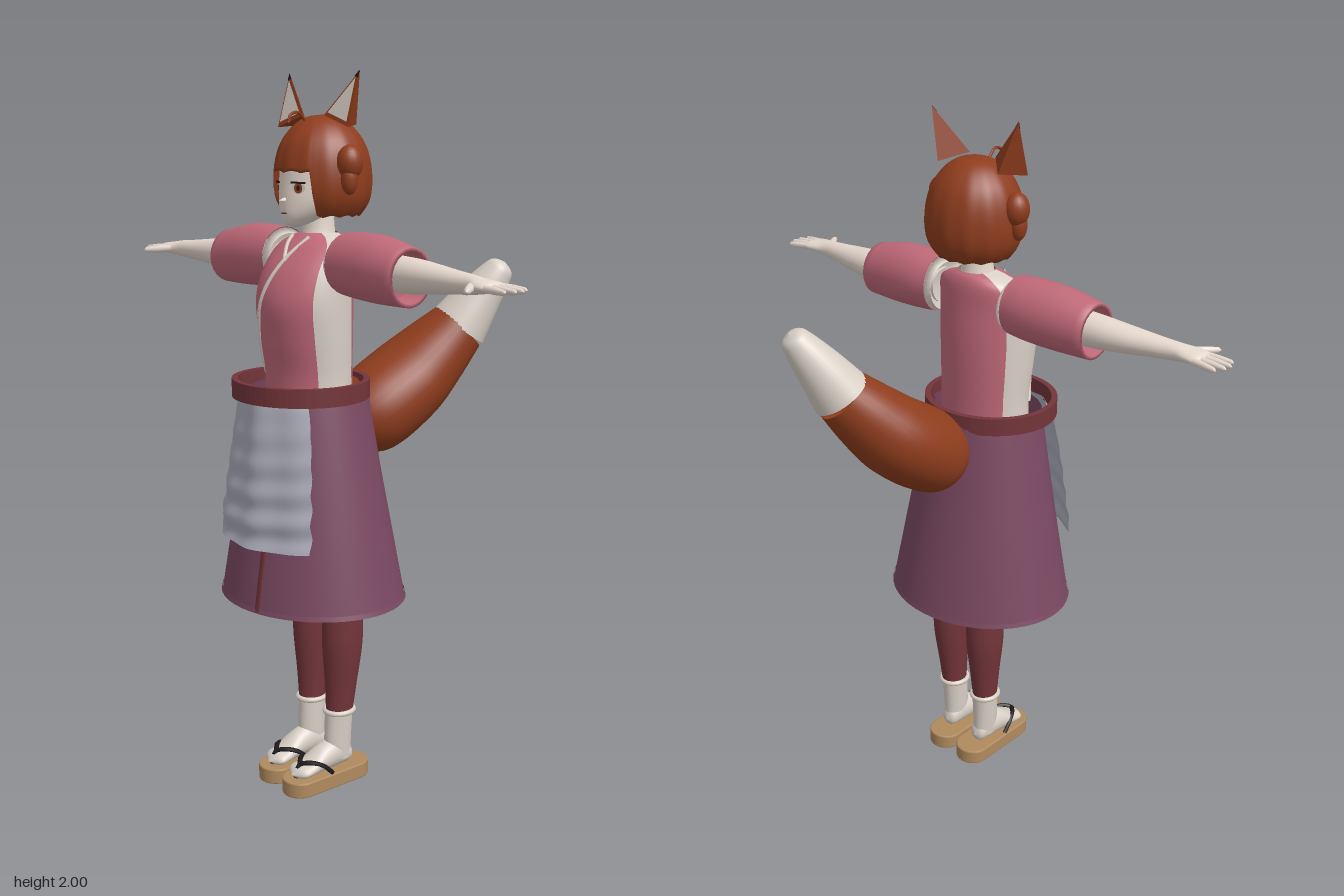
import * as THREE from 'three';
import { ConvexGeometry } from 'three/addons/geometries/ConvexGeometry.js';

const V = (x, y, z) => new THREE.Vector3(x, y, z);
const UP = V(0, 1, 0), X = V(1, 0, 0), Z = V(0, 0, 1);

function paint(name, color) {
  const m = new THREE.MeshStandardMaterial({ color, side: THREE.DoubleSide });
  m.name = name;
  return m;
}

// Sections are [x, y, z, radiusA, radiusB]; smooth() adds steps between them.
function smooth(sections, steps = 5) {
  const curve = f => new THREE.CatmullRomCurve3(sections.map(f), false, 'catmullrom');
  const pos = curve(s => V(s[0], s[1], s[2])), rad = curve(s => V(s[3], s[4], 0));
  const n = (sections.length - 1) * steps;
  return Array.from({ length: n + 1 }, (_, i) => {
    const p = pos.getPoint(i / n), r = rad.getPoint(i / n);
    return [p.x, p.y, p.z, Math.max(r.x, 0), Math.max(r.y, 0)];
  });
}

// Skin of elliptical rings; radiusA lies along ref, arc limits the angle.
function loft(secs, { n = 24, ref = X, axis = null, arc = null } = {}) {
  const pts = secs.map(s => V(s[0], s[1], s[2])), pos = [], idx = [];
  const [a0, a1] = arc || [0, Math.PI * 2], cols = arc ? n + 1 : n;
  secs.forEach((s, i) => {
    const T = axis ? axis.clone() : pts[Math.min(i + 1, pts.length - 1)].clone().sub(pts[Math.max(i - 1, 0)]);
    T.normalize();
    const U = ref.clone().addScaledVector(T, -ref.dot(T)).normalize(), W = T.clone().cross(U);
    for (let j = 0; j < cols; j++) {
      const a = a0 + (a1 - a0) * j / n;
      const p = pts[i].clone().addScaledVector(U, Math.cos(a) * s[3]).addScaledVector(W, Math.sin(a) * s[4]);
      pos.push(p.x, p.y, p.z);
    }
  });
  for (let i = 0; i < secs.length - 1; i++) for (let j = 0; j < n; j++) {
    const a = i * cols + j, b = i * cols + (j + 1) % cols;
    idx.push(a, b, a + cols, b, b + cols, a + cols);
  }
  const g = new THREE.BufferGeometry();
  g.setAttribute('position', new THREE.Float32BufferAttribute(pos, 3));
  g.setIndex(idx);
  g.computeVertexNormals();
  return g;
}

// Front surface depth of an upright loft at (x, y).
function frontZ(secs, x, y) {
  let i = 0;
  while (i < secs.length - 2 && secs[i + 1][1] < y) i++;
  const t = (y - secs[i][1]) / (secs[i + 1][1] - secs[i][1]);
  const [cx, , cz, a, b] = secs[i].map((v, k) => THREE.MathUtils.lerp(v, secs[i + 1][k], t));
  return cz + b * Math.sqrt(Math.max(0, 1 - ((x - cx) / a) ** 2));
}

export function createModel() {
  const root = new THREE.Group();
  const skin = paint('skin', 0xe6d8ce), cream = paint('cream cloth', 0xd9d0c6), hair = paint('russet hair', 0x8f3d1d);
  const pink = paint('pink cloth', 0xc06978), maroon = paint('maroon cloth', 0x73353a), plum = paint('plum cloth', 0x7b4962);
  const grey = paint('apron grey', 0xadadbb), wood = paint('sandal wood', 0xb08a5e), black = paint('black', 0x1e1a1c);
  const add = (name, geo, mat, parent = root) => {
    const m = new THREE.Mesh(geo, mat);
    m.name = name;
    parent.add(m);
    return m;
  };
  const tube = (pts, r) => new THREE.TubeGeometry(new THREE.CatmullRomCurve3(pts), 20, r, 6);

  // Torso wrapped in pink, with cream side panels
  const torso = smooth([[0, 1.08, .17, .14, .11], [0, 1.2, .168, .136, .108], [0, 1.3, .175, .14, .118], [0, 1.4, .18, .143, .125],
    [0, 1.48, .168, .14, .11], [0, 1.54, .145, .128, .085], [0, 1.568, .132, .09, .065], [0, 1.58, .128, .052, .05]]);
  const a = .55, P = Math.PI;
  [['wrapBack', a, P - a, pink], ['wrapFront', P + a, 2 * P - a, pink], ['leftSidePanel', -a, a, cream], ['rightSidePanel', P - a, P + a, cream]]
    .forEach(([name, a0, a1, mat]) => add(name, loft(torso, { n: 16, axis: UP, arc: [a0, a1] }), mat));
  const trim = (x0, y0, x1, y1) => tube(Array.from({ length: 9 }, (_, i) => {
    const x = x0 + (x1 - x0) * i / 8, y = y0 + (y1 - y0) * i / 8;
    return V(x, y, frontZ(torso, x, y));
  }), .006);
  add('collarTrimLong', trim(.035, 1.57, -.115, 1.19), cream);
  add('collarTrimShort', trim(-.04, 1.57, .015, 1.51), cream);
  add('neck', loft(smooth([[0, 1.54, .135, .06, .06], [0, 1.58, .13, .045, .045], [0, 1.66, .13, .04, .04]]), { axis: UP }), skin);

  // Skirt, front stripe, hem, belt and apron
  const skirt = [[0, .575, .158, .28, .243], [0, .77, .161, .242, .212], [0, .96, .165, .205, .184], [0, 1.16, .168, .168, .158]];
  add('skirt', loft(smooth(skirt), { n: 48, axis: UP }), plum);
  add('skirtHem', loft([[0, .572, .158, .284, .247], [0, .585, .158, .28, .244]], { n: 48, axis: UP }), plum);
  add('skirtStripe', loft([.575, .77, .96, 1.14].map(y => [.06, y, frontZ(skirt, .06, y), .011, .004]), { n: 8, axis: UP }), maroon);
  const ring = new THREE.Shape().absellipse(0, 0, .195, .185, 0, 2 * P);
  ring.holes.push(new THREE.Path().absellipse(0, 0, .178, .168, 0, 2 * P, true));
  const belt = new THREE.ExtrudeGeometry(ring, { depth: .05, bevelEnabled: false, curveSegments: 32 });
  add('belt', belt.rotateX(-P / 2).translate(0, 1.14, .195), maroon);
  const apron = new THREE.PlaneGeometry(2, 1, 24, 40), ap = apron.attributes.position;
  for (let i = 0; i < ap.count; i++) {
    const u = ap.getX(i), v = .5 - ap.getY(i);
    const ripple = .005 * Math.sin(v * 32 + u) * v + .004 * Math.sin(u * 9);
    ap.setXYZ(i, u * (.14 + .07 * Math.sqrt(v)), 1.15 - .4 * v + .008 * u * u, .362 + .04 * v - .078 * u * u + ripple);
  }
  apron.computeVertexNormals();
  add('apron', apron, grey);

  // Head and face
  const headSecs = smooth([[0, 1.596, .212, .004, .006], [0, 1.606, .2, .027, .035], [0, 1.63, .175, .057, .069], [0, 1.665, .15, .082, .094],
    [0, 1.71, .138, .093, .101], [0, 1.77, .133, .098, .098], [0, 1.83, .125, .08, .08], [0, 1.86, .12, .02, .02]]);
  add('head', loft(headSecs, { n: 32, axis: UP }), skin);
  add('nose', new THREE.ConeGeometry(.009, .022, 8).rotateX(P / 2).translate(0, 1.668, .25), skin);
  add('mouth', new THREE.BoxGeometry(.022, .003, .006).translate(0, 1.634, frontZ(headSecs, 0, 1.634)), maroon);
  for (const s of [1, -1]) {
    const eye = new THREE.Group();
    eye.name = s > 0 ? 'leftEye' : 'rightEye';
    eye.position.set(s * .043, 1.7, frontZ(headSecs, .043, 1.7));
    eye.rotation.y = s * .45;
    root.add(eye);
    const disc = (name, w, h, y, z, mat) => add(name, new THREE.CircleGeometry(1, 20).scale(w, h, 1).translate(0, y, z), mat, eye);
    disc('eyeWhite', .02, .014, 0, .002, cream);
    disc('iris', .012, .014, 0, .003, hair);
    disc('pupil', .005, .007, 0, .004, black);
    add('lash', new THREE.BoxGeometry(.042, .005, .003).translate(0, .014, .003), black, eye);
  }

  // Bobbed hair: a cap whose lower edge rises over the face
  const capR = smooth([[0, 0, 1.62, 1.0, 0], [0, 0, 1.66, 1.27, 0], [0, 0, 1.71, 1.36, 0], [0, 0, 1.77, 1.31, 0],
    [0, 0, 1.82, 1.13, 0], [0, 0, 1.86, .8, 0], [0, 0, 1.882, .42, 0], [0, 0, 1.888, 0, 0]], 6);
  const radiusAt = y => {
    let i = 0;
    while (i < capR.length - 2 && capR[i + 1][2] < y) i++;
    const t = THREE.MathUtils.clamp((y - capR[i][2]) / (capR[i + 1][2] - capR[i][2]), 0, 1);
    return .1 * THREE.MathUtils.lerp(capR[i][3], capR[i + 1][3], t);
  };
  const cap = new THREE.PlaneGeometry(1, 1, 120, 25), cp = cap.attributes.position;
  for (let i = 0; i < cp.count; i++) {
    const phi = cp.getX(i) * 2 * P, v = .5 - cp.getY(i), row = Math.min(v * 25 / 24, 1);
    const side = THREE.MathUtils.smoothstep(Math.abs(phi), .62, .74);
    const bottom = 1.738 - side * .116 + .006 * Math.abs(Math.sin(phi * 7));
    const y = 1.888 - (1.888 - bottom) * (1 - Math.cos(row * P / 2)) ;
    const tuck = v > .99 ? .75 : 1;
    const r = radiusAt(y) * tuck * (1 + .012 * row * Math.sin(phi * 14));
    cp.setXYZ(i, Math.sin(phi) * r * .99, y + (v > .99 ? .012 : 0), .115 + Math.cos(phi) * r * .96);
  }
  cap.computeVertexNormals();
  add('hair', cap, hair);
  add('hairCurl', tube([V(0, 1.87, .17), V(.005, 1.893, .2), V(.01, 1.885, .23), V(.012, 1.868, .235)], .004), hair);

  for (const s of [1, -1]) {
    const side = s > 0 ? 'left' : 'right';
    // Side buns and fox ears
    add(side + 'Bun', new THREE.SphereGeometry(1, 20, 14).scale(.034, .045, .036).translate(s * .134, 1.767, .13), hair);
    add(side + 'BunTail', new THREE.SphereGeometry(1, 16, 12).scale(.022, .042, .024).translate(s * .138, 1.725, .135), hair);
    const outer = V(s * .152, 1.855, .15), inner = V(s * .045, 1.886, .145), tip = V(s * .15, 1.997, .11), back = V(s * .105, 1.862, .085);
    add(side + 'Ear', new ConvexGeometry([outer, inner, tip, back]), hair);
    add(side + 'EarTip', new ConvexGeometry([outer, inner, tip, back].map(p => tip.clone().lerp(p, .14).add(V(0, .002, .001)))), black);
    const mid = outer.clone().add(inner).add(tip).divideScalar(3);
    const plate = [outer, inner, tip].map(p => p.clone().lerp(mid, .22).add(V(0, .001, .003)));
    const earIn = new THREE.BufferGeometry().setFromPoints(s > 0 ? [plate[0], plate[2], plate[1]] : plate);
    earIn.computeVertexNormals();
    add(side + 'EarInner', earIn, cream);

    // Puffed sleeve, folded in at its open cuff
    const out = V(s, 0, 0), along = { ref: UP, axis: out };
    const sleeve = smooth([[.138, 1.505, .14, .082, .08], [.2, 1.504, .14, .087, .084], [.29, 1.5, .144, .087, .082], [.395, 1.49, .148, .076, .072]])
      .concat([[.396, 1.49, .148, .066, .062], [.33, 1.495, .147, .066, .062]]);
    add(side + 'Sleeve', loft(sleeve.map(([x, ...r]) => [s * x, ...r]), along), pink);
    add(side + 'ShoulderSeam', loft([[s * .12, 1.5, .14, .07, .07], [s * .139, 1.505, .14, .08, .078], [s * .139, 1.505, .14, 0, 0]], along), cream);

    // Arm, hand and fingers
    const arm = smooth([[.13, 1.5, .14, .05, .05], [.38, 1.495, .143, .046, .048], [.48, 1.495, .148, .038, .043], [.57, 1.495, .157, .029, .033],
      [.63, 1.495, .163, .024, .028], [.67, 1.495, .168, .018, .038], [.705, 1.495, .166, .013, .038], [.718, 1.495, .165, 0, .01]]);
    add(side + 'Arm', loft(arm.map(([x, ...r]) => [s * x, ...r]), along), skin);
    const finger = (name, x0, z0, x1, z1, r) => {
      const at = (t, k) => [s * (x0 + (x1 - x0) * t), 1.495 - .004 * t, z0 + (z1 - z0) * t, r * k, r * k];
      add(side + name, loft([at(0, 1), at(.5, 1), at(.9, .75), at(1, 0)], { n: 8, ref: UP }), skin);
    };
    for (let k = 0; k < 4; k++) finger('Finger' + (k + 1), .695, .137 + k * .019, .772 + [0, .014, .015, .004][k], .125 + k * .025, .0095);
    finger('Thumb', .65, .185, .705, .256, .011);

    // Leg, sock, sandal and straps
    const leg = smooth([[.064, .2, .115, .034, .04], [.066, .3, .11, .042, .049], [.068, .42, .106, .052, .062],
      [.068, .55, .107, .053, .064], [.07, .8, .12, .068, .08], [.065, 1.1, .16, .075, .09]]);
    add(side + 'Leg', loft(leg.map(([x, ...r]) => [s * x, ...r]), { axis: UP }), maroon);
    add(side + 'Ankle', loft(smooth([[s * .062, .07, .118, .03, .04], [s * .062, .12, .12, .033, .042], [s * .063, .215, .115, .036, .042]]), { axis: UP }), cream);
    add(side + 'SockCuff', new THREE.TorusGeometry(.038, .008, 8, 24).rotateX(P / 2).scale(1, 1, 1.1).translate(s * .064, .215, .115), cream);
    add(side + 'Foot', loft(smooth([[s * .06, .072, .072, 0, 0], [s * .06, .077, .085, .025, .028], [s * .06, .088, .13, .034, .043], [s * .06, .082, .18, .037, .038],
      [s * .058, .066, .23, .041, .022], [s * .056, .06, .262, .037, .016], [s * .056, .056, .282, 0, 0]]), { axis: Z }), cream);
    const sole = new THREE.Shape().absarc(0, .063, .052, P, 2 * P).absarc(0, .247, .052, 0, P);
    sole.closePath();
    const sandal = new THREE.ExtrudeGeometry(sole, { depth: .037, bevelSize: .004, bevelThickness: .004, bevelOffset: -.004, bevelSegments: 2, curveSegments: 16 });
    add(side + 'Sandal', sandal.rotateX(P / 2).translate(s * .057, .041, .005), wood);
    for (const e of [1, -1]) {
      const x = s * .057;
      add(side + 'Strap', tube([V(x + e * .045, .047, .17), V(x + e * .041, .076, .2), V(x + e * .024, .088, .232), V(x, .08, .255), V(x, .045, .268)], .007), black);
    }
  }

  // Bushy tail with a cream tip
  add('tail', loft(smooth([[.02, 1.0, .08, .03, .03], [.03, 1.04, .025, .105, .1], [.038, 1.08, -.04, .132, .12], [.055, 1.15, -.14, .135, .116],
    [.085, 1.225, -.215, .114, .1], [.12, 1.3, -.28, .087, .08]]), { n: 32 }), hair);
  add('tailTip', loft(smooth([[.12, 1.3, -.28, .089, .082], [.15, 1.375, -.322, .07, .065], [.182, 1.445, -.362, .049, .046],
    [.194, 1.472, -.378, .034, .032], [.198, 1.482, -.385, 0, 0]]), { n: 32 }), cream);
  return root;
}
